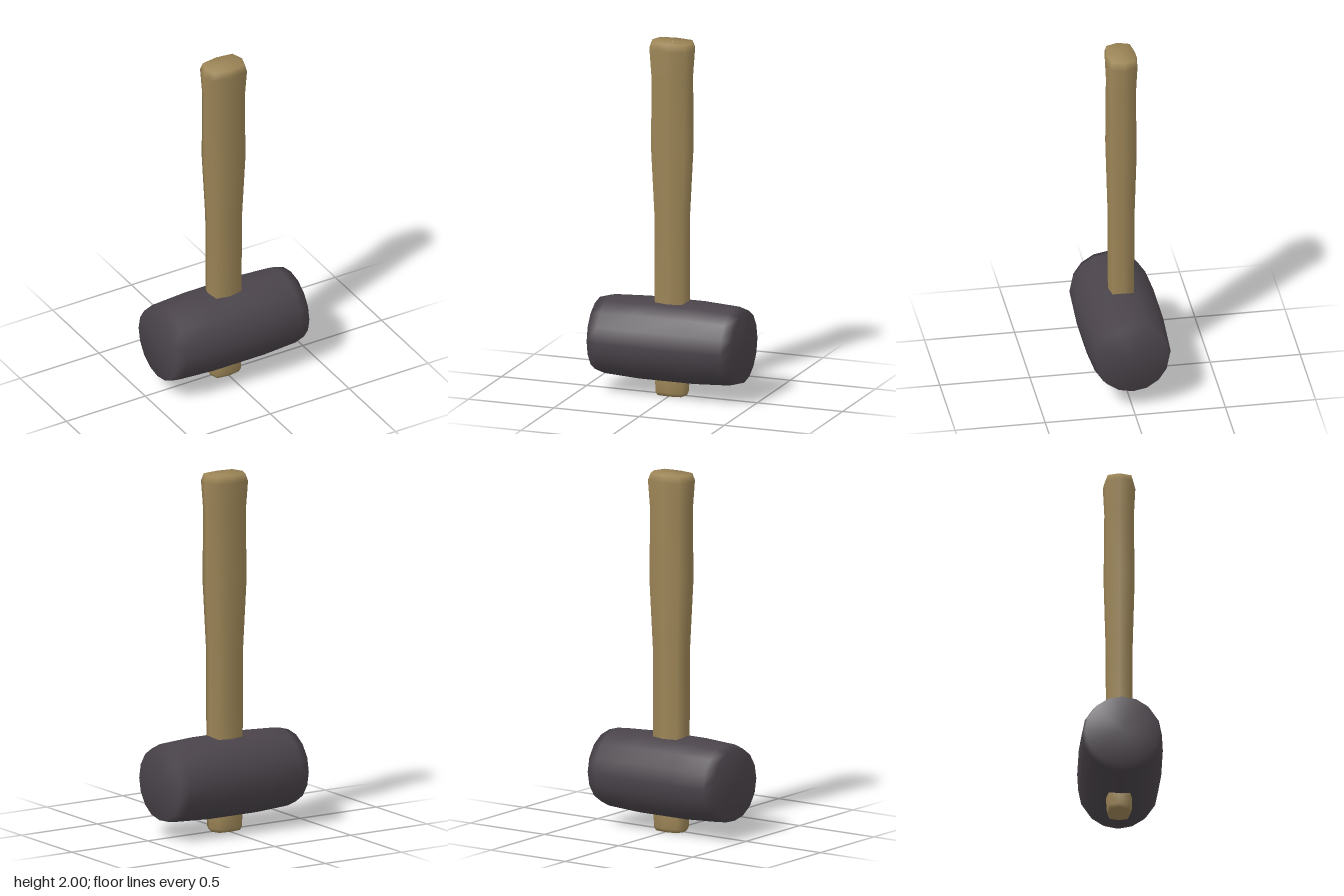
import * as THREE from 'three';
import { mergeVertices } from 'three/addons/utils/BufferGeometryUtils.js';

// Weld a reshaped lathe and give it smooth normals
function smooth(geometry) {
  geometry.deleteAttribute('uv');
  geometry.deleteAttribute('normal');
  const welded = mergeVertices(geometry, 1e-4);
  welded.computeVertexNormals();
  return welded;
}

// Handle: rows of [y, half width, half depth], from the butt to the grip end
const handleRows = [
  [0, 0.001, 0.001], [0, 0.085, 0.06], [0.02, 0.095, 0.069], [0.08, 0.098, 0.071],
  [0.53, 0.1, 0.072], [1.0, 0.1, 0.074], [1.4, 0.122, 0.085],
  [1.8, 0.12, 0.081], [1.96, 0.132, 0.089], [2, 0.117, 0.078], [2, 0.001, 0.001],
];

function makeHandle() {
  const sides = 8;
  const profile = handleRows.map(([y]) => new THREE.Vector2(1, y));
  const geometry = new THREE.LatheGeometry(profile, sides);
  const pos = geometry.attributes.position;
  for (let i = 0; i < pos.count; i++) {
    const [y, w, d] = handleRows[i % handleRows.length];
    const side = Math.floor(i / handleRows.length) % sides;
    // Flattened octagon: the diagonal corners are pushed outward
    const diagonal = side % 2 === 1;
    const sx = Math.sign(Math.round(pos.getX(i) * 2));
    const sz = Math.sign(Math.round(pos.getZ(i) * 2));
    pos.setXYZ(i, sx * w * (diagonal ? 0.8 : 1), y, sz * d * (diagonal ? 0.83 : 1) - 0.005);
  }
  return smooth(geometry);
}

// Head: barrel lying along x with narrowed striking faces
function makeHead() {
  const half = [[0.16, 0.23], [0.365, 0.219], [0.423, 0.202], [0.423, 0]];
  const profile = [
    ...half.map(([x, r]) => new THREE.Vector2(r, -x)).reverse(),
    ...half.map(([x, r]) => new THREE.Vector2(r, x)),
  ];
  const geometry = new THREE.LatheGeometry(profile, 16);
  geometry.rotateZ(-Math.PI / 2);
  return smooth(geometry);
}

export function createModel() {
  const wood = new THREE.MeshStandardMaterial({ color: 0x9c8557 });
  wood.name = 'wood';
  const rubber = new THREE.MeshStandardMaterial({ color: 0x4a444a });
  rubber.name = 'dark rubber';

  const handle = new THREE.Mesh(makeHandle(), wood);
  handle.name = 'handle';

  const head = new THREE.Mesh(makeHead(), rubber);
  head.name = 'head';
  head.position.y = 0.308;

  const model = new THREE.Group();
  model.name = 'mallet';
  model.add(handle, head);
  return model;
}
